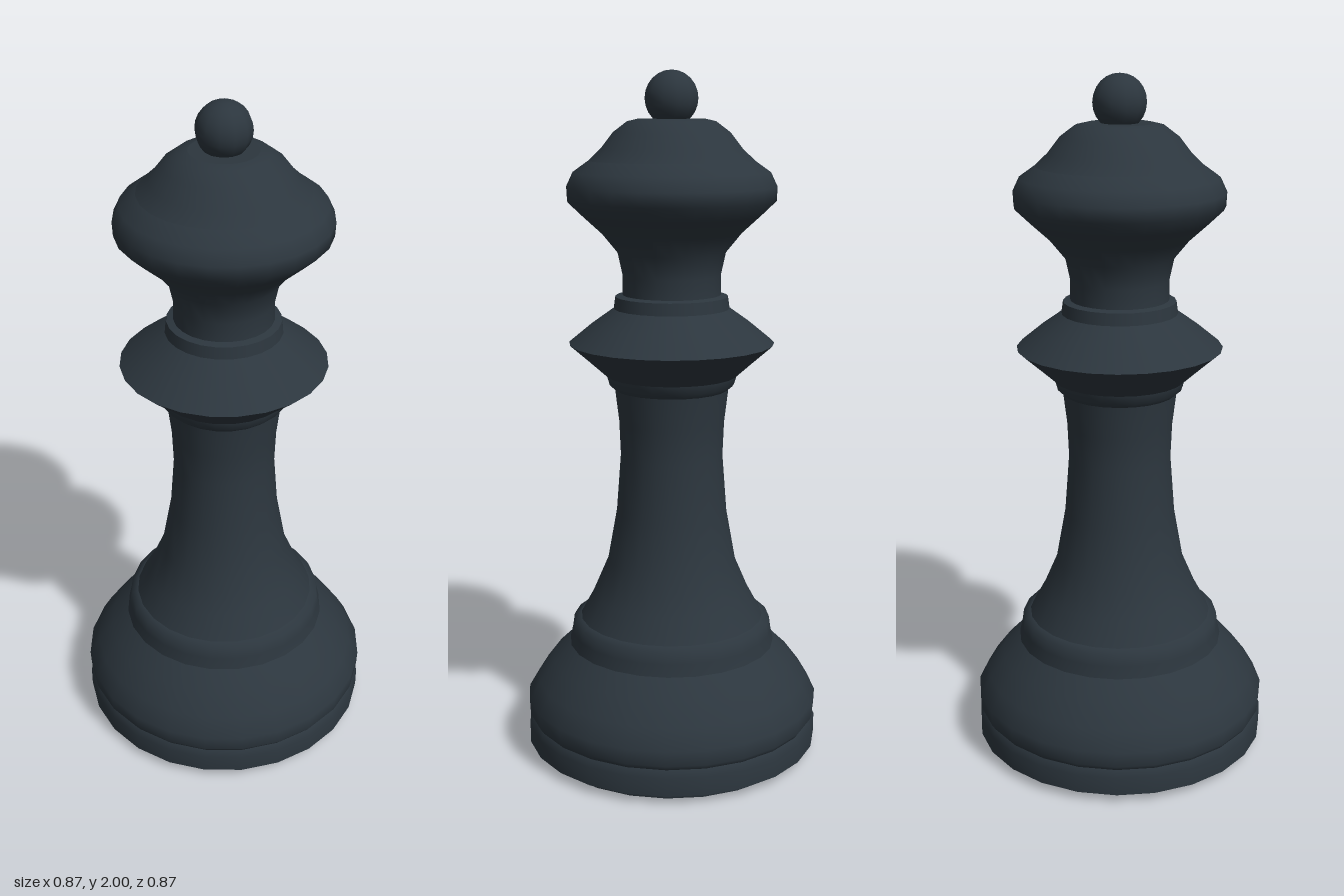
import * as THREE from 'three';

export function createModel() {
  const model = new THREE.Group();
  model.name = 'chessPiece';
  const ebony = new THREE.MeshStandardMaterial({ color: 0x2c363e });
  ebony.name = 'dark ebony';

  // Turned part: profile of [radius, height] pairs, from bottom to top
  const turn = (name, profile) => {
    const points = profile.map(([r, y]) => new THREE.Vector2(r, y));
    const mesh = new THREE.Mesh(new THREE.LatheGeometry(points, 24), ebony);
    mesh.name = name;
    model.add(mesh);
  };

  // Foot: recessed pad, its rim and the bulging base
  turn('padUnderside', [[0, 0], [0.4, 0]]);
  turn('padEdge', [[0.4, 0], [0.405, 0.022]]);
  turn('baseUnderside', [[0.4, 0.022], [0.437, 0.025]]);
  turn('baseRim', [[0.437, 0.025], [0.437, 0.08], [0.425, 0.1]]);
  turn('base', [[0.425, 0.1], [0.435, 0.115], [0.437, 0.16], [0.405, 0.215],
    [0.36, 0.275], [0.308, 0.325]]);
  turn('baseCollar', [[0.308, 0.325], [0.3, 0.36], [0.295, 0.395], [0.273, 0.405]]);

  // Tapering stem
  turn('stem', [[0.273, 0.405], [0.235, 0.475], [0.19, 0.58], [0.163, 0.73],
    [0.15, 0.9], [0.154, 1], [0.166, 1.1]]);

  // Sharp-edged collar
  turn('collarStep', [[0.166, 1.1], [0.183, 1.115], [0.19, 1.14]]);
  turn('collarUnderside', [[0.19, 1.14], [0.24, 1.185], [0.297, 1.235]]);
  turn('collarTop', [[0.297, 1.235], [0.23, 1.29], [0.167, 1.335]]);
  turn('collarRing', [[0.167, 1.335], [0.162, 1.37]]);
  turn('collarRingTop', [[0.162, 1.37], [0.142, 1.375]]);

  // Head: flaring neck, rounded band and dome
  turn('head', [[0.142, 1.375], [0.141, 1.43], [0.155, 1.495], [0.2, 1.55],
    [0.255, 1.6], [0.297, 1.64], [0.299, 1.68], [0.28, 1.72], [0.235, 1.752]]);
  turn('dome', [[0.235, 1.752], [0.2, 1.785], [0.165, 1.83], [0.125, 1.86], [0.095, 1.867]]);
  turn('domeCap', [[0.095, 1.867], [0, 1.867]]);

  // Finial ball
  const ball = new THREE.Mesh(new THREE.SphereGeometry(0.077, 12, 12), ebony);
  ball.name = 'finialBall';
  ball.position.y = 1.923;
  model.add(ball);

  return model;
}
